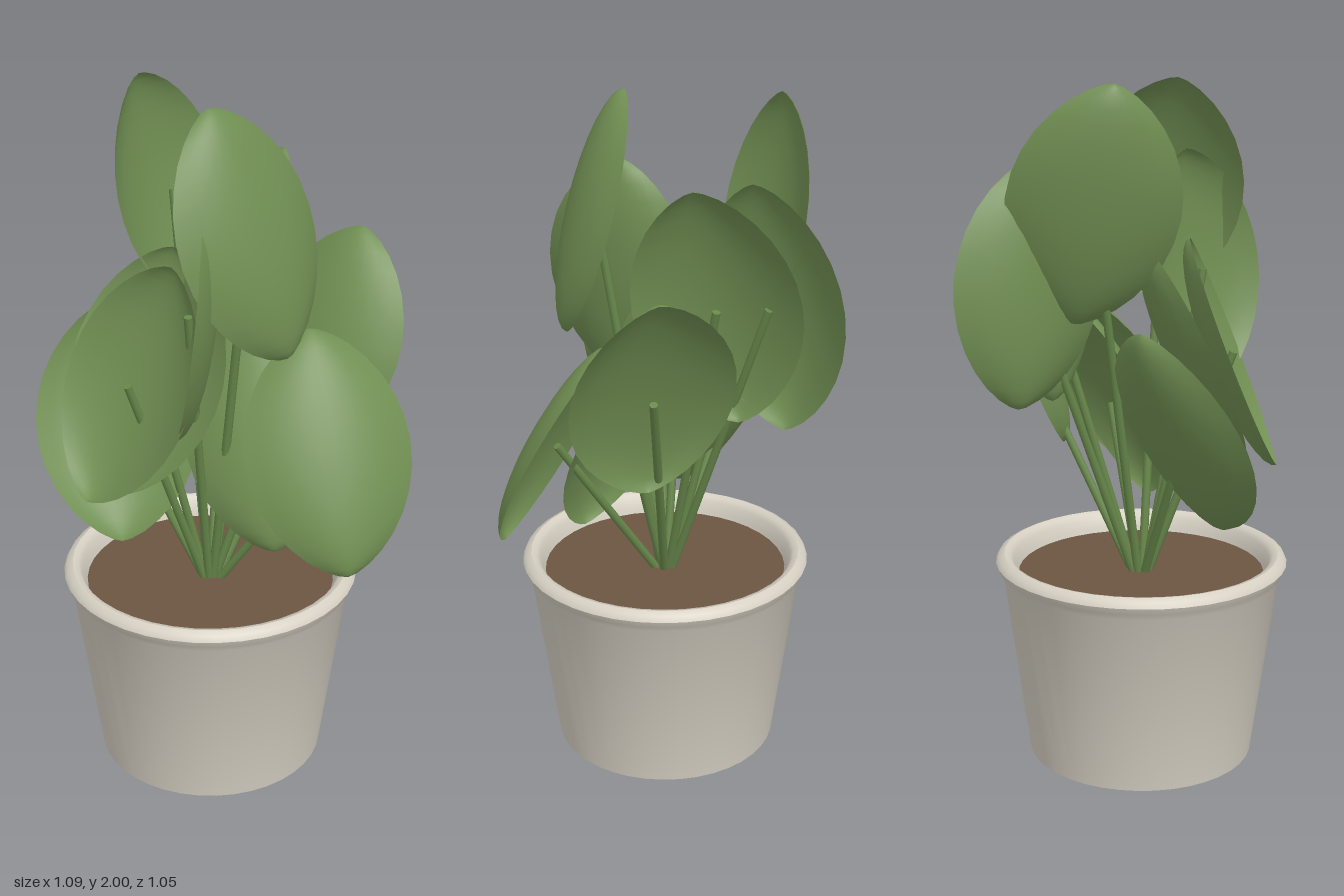
import * as THREE from 'three';
import { toCreasedNormals } from 'three/addons/utils/BufferGeometryUtils.js';

const mat = (name, color, side = THREE.FrontSide) => {
  const m = new THREE.MeshStandardMaterial({ color, side });
  m.name = name;
  return m;
};

// Plant axis
const CX = -0.03, CZ = 0.09, SOIL_Y = 0.56;

// Leaves: centre (end of the stem) and upper tip, tier by tier
const LEAVES = [
  [[0.09, 1.67, 0.24], [-0.02, 2.0, 0.217]],
  [[-0.16, 1.67, -0.16], [-0.25, 2.0, -0.153]],
  [[0.08, 1.455, -0.175], [0.16, 1.8, -0.153]],
  [[-0.02, 1.455, -0.28], [-0.005, 1.8, -0.23]],
  [[-0.065, 1.455, 0.28], [-0.03, 1.8, 0.24]],
  [[-0.235, 1.24, 0.265], [-0.12, 1.56, 0.19]],
  [[0.295, 1.24, -0.125], [0.385, 1.56, -0.217]],
  [[-0.20, 1.24, 0.155], [-0.14, 1.56, 0.02]],
  [[0.315, 1.04, 0.21], [0.245, 1.35, 0.063]],
  [[-0.30, 1.04, 0.05], [-0.33, 1.35, -0.12]],
  [[0.135, 1.04, 0.09], [0.1, 1.35, -0.055]],
];

// Cupped oval blade, pointed at both ends; y runs to the tip, +z is the bulging side
function leafGeometry() {
  const g = new THREE.PlaneGeometry(2, 2, 12, 16);
  const p = g.attributes.position;
  for (let i = 0; i < p.count; i++) {
    const u = p.getX(i), a = p.getY(i) * Math.PI / 2;
    const c = Math.max(0, Math.cos(a));
    p.setXYZ(i, u * 0.24 * Math.pow(c, 1.35), Math.sin(a), 0.077 * (1 - u * u) * c);
  }
  g.computeVertexNormals();
  return g;
}

export function createModel() {
  const potMat = mat('pot clay', 0xd6d0c3);
  const soilMat = mat('soil brown', 0x6c5441);
  const leafMat = mat('leaf green', 0x718f53, THREE.DoubleSide);
  const stemMat = mat('stem green', 0x67874a);

  const model = new THREE.Group();
  const add = (parent, name, geo, material) => {
    const m = new THREE.Mesh(geo, material);
    m.name = name;
    parent.add(m);
    return m;
  };

  // Tapered pot with a rolled rim and inner wall
  const profile = [
    [0, 0], [0.337, 0], [0.412, 0.555], [0.426, 0.575], [0.434, 0.595], [0.426, 0.611],
    [0.408, 0.62], [0.392, 0.615], [0.382, 0.6], [0.372, 0.57], [0.355, 0.5],
  ].map(([r, y]) => new THREE.Vector2(r, y));
  const potGeo = toCreasedNormals(new THREE.LatheGeometry(profile, 40), 0.75);
  add(model, 'pot', potGeo, potMat).position.set(CX, 0, CZ);

  // Soil disc
  const soil = add(model, 'soil', new THREE.CylinderGeometry(0.366, 0.36, 0.03, 40), soilMat);
  soil.position.set(CX, SOIL_Y - 0.015, CZ);

  // Leaves, each with its own stem fanning out from the soil
  const blade = leafGeometry();
  const up = new THREE.Vector3(0, 1, 0);
  for (const [c, t] of LEAVES) {
    const shoot = new THREE.Group();
    shoot.name = 'shoot';
    model.add(shoot);
    const centre = new THREE.Vector3(...c);
    const tip = new THREE.Vector3(...t).sub(centre);
    const dx = centre.x - CX, dz = centre.z - CZ;

    // Blade turned so that its bulge faces across the plant
    const y = tip.clone().normalize();
    const x = y.clone().cross(new THREE.Vector3(dz, 0, dx)).normalize();
    const z = x.clone().cross(y);
    const leaf = add(shoot, 'leaf', blade, leafMat);
    leaf.quaternion.setFromRotationMatrix(new THREE.Matrix4().makeBasis(x, y, z));
    leaf.scale.set(1, tip.length(), 1);
    leaf.position.copy(centre);

    // Stem from soil to blade centre
    const base = new THREE.Vector3(CX + dx * 0.06, SOIL_Y - 0.02, CZ + dz * 0.06);
    const dir = centre.clone().sub(base);
    const stem = add(shoot, 'stem', new THREE.CylinderGeometry(0.012, 0.013, dir.length(), 8), stemMat);
    stem.position.copy(base).addScaledVector(dir, 0.5);
    stem.quaternion.setFromUnitVectors(up, dir.normalize());
  }
  return model;
}
